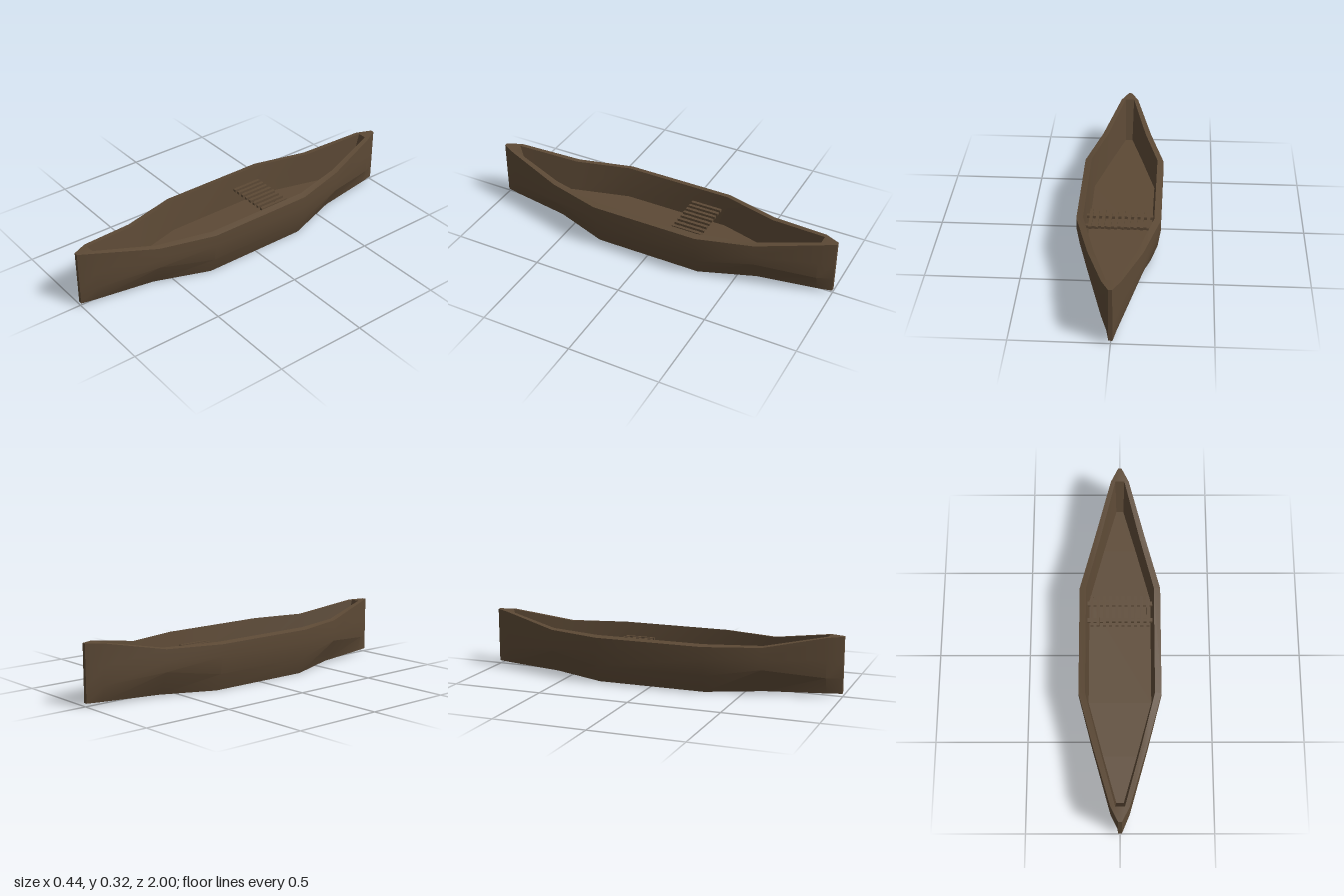
import * as THREE from 'three';
import { toCreasedNormals } from 'three/addons/utils/BufferGeometryUtils.js';

// Half sections from stem to midship: z, then [x, y] of bottom, knuckle, shoulder, rail outside, rail inside
const STATIONS = [
  { z: 1.0, pts: [[0.01, 0.02], [0.01, 0.1], [0.01, 0.2], [0.01, 0.322], [0.01, 0.322]] },
  { z: 0.92, pts: [[0.025, 0.018], [0.05, 0.105], [0.05, 0.2], [0.05, 0.318], [0.025, 0.32]], floor: [0.02, 0.08, 0.85] },
  { z: 0.6, pts: [[0.07, 0.01], [0.14, 0.14], [0.143, 0.19], [0.14, 0.258], [0.108, 0.262]], floor: [0.09, 0.08, 0.6] },
  { z: 0.3, pts: [[0.17, 0.002], [0.205, 0.095], [0.22, 0.19], [0.22, 0.255], [0.185, 0.263]], floor: [0.17, 0.08, 0.3] },
];
// All stations from front to back
const ALL = [
  ...STATIONS.map((s) => ({ s, dir: 1 })),
  ...[...STATIONS].reverse().map((s) => ({ s, dir: -1 })),
];

// Lengthwise row of points: k picks the section point (5 = floor), side is +1 or -1
function row(k, side) {
  return ALL.map(({ s, dir }) => {
    if (k === 5) return s.floor ? [side * s.floor[0], s.floor[1], dir * s.floor[2]] : null;
    return [side * s.pts[k][0], s.pts[k][1], dir * s.z];
  });
}

function addTriangle(out, a, b, c) {
  const [p, q, r] = [a, b, c].map((v) => new THREE.Vector3(...v));
  if (q.sub(p).cross(r.sub(p)).length() > 1e-7) out.push(...a, ...b, ...c);
}

function addQuad(out, a, b, c, d) {
  addTriangle(out, a, b, c);
  addTriangle(out, a, c, d);
}

// Join two lengthwise rows with quads
function addStrip(out, a, b) {
  for (let i = 0; i < a.length - 1; i++) {
    if (a[i] && b[i] && a[i + 1] && b[i + 1]) addQuad(out, a[i], a[i + 1], b[i + 1], b[i]);
  }
}

function makeMesh(name, positions, material) {
  const g = new THREE.BufferGeometry();
  g.setAttribute('position', new THREE.Float32BufferAttribute(positions, 3));
  const mesh = new THREE.Mesh(toCreasedNormals(g, 0.4), material);
  mesh.name = name;
  return mesh;
}

export function createModel() {
  const boat = new THREE.Group();
  boat.name = 'rowingBoat';
  const wood = new THREE.MeshStandardMaterial({ color: 0x5c4935 });
  wood.name = 'dark brown wood';

  const left = [0, 1, 2, 3, 4, 5].map((k) => row(k, 1));
  const right = [0, 1, 2, 3, 4, 5].map((k) => row(k, -1));
  const last = ALL.length - 1;

  // Outer planking, bottom and the narrow stem faces
  const hull = [];
  for (let k = 0; k < 3; k++) {
    addStrip(hull, left[k], left[k + 1]);
    addStrip(hull, right[k + 1], right[k]);
    addQuad(hull, left[k][0], left[k + 1][0], right[k + 1][0], right[k][0]);
    addQuad(hull, left[k + 1][last], left[k][last], right[k][last], right[k + 1][last]);
  }
  addStrip(hull, right[0], left[0]);
  boat.add(makeMesh('hull', hull, wood));

  // Rail along the top edge with small end decks
  const rail = [];
  addStrip(rail, left[3], left[4]);
  addStrip(rail, right[4], right[3]);
  const [L, R] = [left[4], right[4]];
  addQuad(rail, L[0], L[1], R[1], R[0]);
  addQuad(rail, L[last - 1], L[last], R[last], R[last - 1]);
  boat.add(makeMesh('gunwale', rail, wood));

  // Inner walls, closed by a sloping face at each end
  const walls = [];
  addStrip(walls, left[4], left[5]);
  addStrip(walls, right[5], right[4]);
  addQuad(walls, L[1], left[5][1], right[5][1], R[1]);
  addQuad(walls, left[5][last - 1], L[last - 1], R[last - 1], right[5][last - 1]);
  boat.add(makeMesh('innerWalls', walls, wood));

  const floor = [];
  addStrip(floor, left[5], right[5]);
  boat.add(makeMesh('floor', floor, wood));

  // Slatted seat on two cross rails
  const seat = new THREE.Group();
  seat.name = 'seat';
  const addBox = (name, w, h, d, x, y, z) => {
    const mesh = new THREE.Mesh(new THREE.BoxGeometry(w, h, d), wood);
    mesh.name = name;
    mesh.position.set(x, y, z);
    seat.add(mesh);
  };
  for (const z of [-0.242, -0.145]) addBox('seatRail', 0.364, 0.016, 0.022, 0, 0.17, z);
  for (let i = 0; i < 10; i++) addBox('seatSlat', 0.017, 0.014, 0.174, (i - 4.5) * 0.034, 0.184, -0.193);
  boat.add(seat);

  return boat;
}
